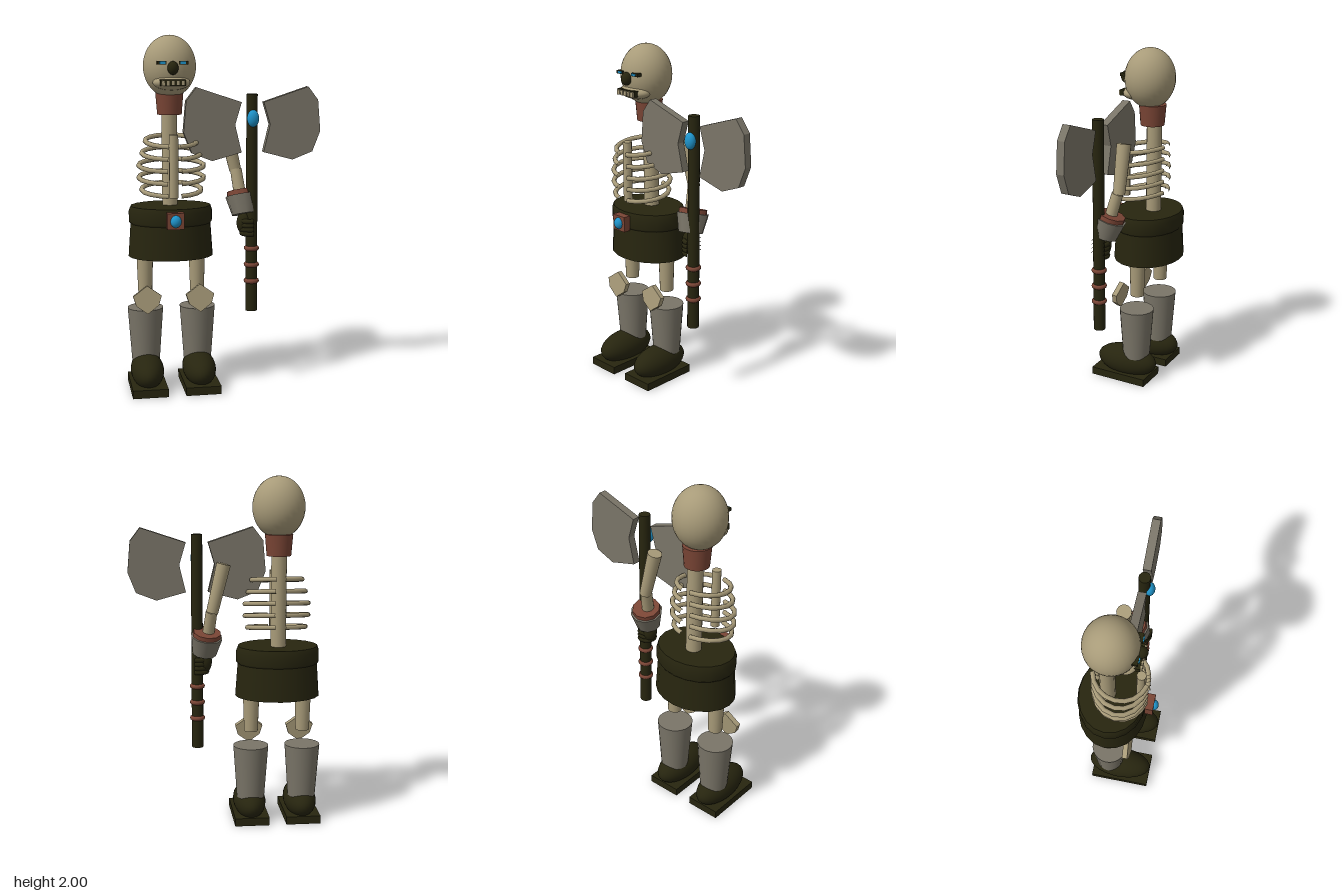
import * as THREE from 'three';

const mat = (name, color) => {
  const m = new THREE.MeshStandardMaterial({ color });
  m.name = name;
  return m;
};

export function createModel() {
  const bone = mat('bone', 0xa89b79);
  const steel = mat('steel', 0x7a7568);
  const dark = mat('darkLeather', 0x27250f);
  const brown = mat('brownLeather', 0x7a4535);
  const blue = mat('blueGlow', 0x1f95cc);

  const model = new THREE.Group();
  const V = (x, y, z) => new THREE.Vector3(x, y, z);
  const CX = -0.296; // body axis

  const add = (name, geo, material, x = 0, y = 0, z = 0, parent = model) => {
    const m = new THREE.Mesh(geo, material);
    m.name = name;
    m.position.set(x, y, z);
    parent.add(m);
    return m;
  };
  const ball = (name, material, x, y, z, rx, ry, rz, parent = model) => {
    const m = add(name, new THREE.SphereGeometry(1, 28, 20), material, x, y, z, parent);
    m.scale.set(rx, ry, rz);
    return m;
  };
  const box = (name, material, x, y, z, w, h, d, parent = model) =>
    add(name, new THREE.BoxGeometry(w, h, d), material, x, y, z, parent);
  // tapered cylinder running from a to b
  const limb = (name, material, a, b, ra, rb, sides = 16, parent = model) => {
    const dir = b.clone().sub(a);
    const m = add(name, new THREE.CylinderGeometry(rb, ra, dir.length(), sides), material, 0, 0, 0, parent);
    m.position.copy(a).add(b).multiplyScalar(0.5);
    m.quaternion.setFromUnitVectors(V(0, 1, 0), dir.normalize());
    return m;
  };
  const plate = (points, depth) => {
    const shape = new THREE.Shape(points.map(p => new THREE.Vector2(p[0], p[1])));
    const g = new THREE.ExtrudeGeometry(shape, { depth, bevelEnabled: false });
    return g.translate(0, 0, -depth / 2);
  };

  // Skull and face
  const head = new THREE.Group();
  head.name = 'head';
  head.position.x = CX;
  model.add(head);
  ball('skull', bone, 0, 1.828, -0.025, 0.148, 0.172, 0.146, head);
  for (const s of [-1, 1]) {
    box('eyeSocket', dark, s * 0.06, 1.848, 0.108, 0.05, 0.018, 0.03, head);
    box('eye', blue, s * 0.056, 1.848, 0.125, 0.03, 0.012, 0.008, head);
  }
  ball('nose', dark, 0, 1.82, 0.128, 0.03, 0.037, 0.032, head);
  ball('jaw', bone, 0, 1.74, 0.06, 0.104, 0.042, 0.07, head);
  box('mouth', dark, 0, 1.741, 0.112, 0.14, 0.034, 0.04, head);
  for (let i = -2; i <= 2; i++)
    box('tooth', bone, i * 0.027, 1.739, 0.133, 0.019, 0.027, 0.02, head);

  // Neck and spine
  limb('collar', brown, V(CX, 1.56, -0.043), V(CX, 1.68, -0.043), 0.069, 0.079, 24);
  limb('spine', bone, V(CX, 1.0, -0.055), V(CX, 1.6, -0.055), 0.044, 0.044);
  limb('sternum', bone, V(CX, 1.11, 0.13), V(CX, 1.46, 0.13), 0.026, 0.026, 10);

  // Rib cage: mirrored half rings sloping down to the front
  const ribWidths = [0.145, 0.165, 0.183, 0.183, 0.168];
  ribWidths.forEach((rx, i) => {
    for (const s of [-1, 1]) {
      const pts = [];
      for (let k = 0; k <= 6; k++) {
        const a = 0.15 + (k / 6) * 2.8;
        pts.push(V(CX + s * rx * Math.sin(a), 1.417 - i * 0.068 + 0.022 * Math.cos(a),
          0.02 - 0.148 * Math.cos(a)));
      }
      const path = new THREE.CurvePath();
      for (let k = 0; k < 6; k++) path.add(new THREE.LineCurve3(pts[k], pts[k + 1]));
      add('rib', new THREE.TubeGeometry(new THREE.CatmullRomCurve3(pts), 8, 0.0135, 8), bone);
    }
  });

  // Skirt and belt, oval in plan
  const oval = (name, profile) => {
    const g = new THREE.LatheGeometry(profile.map(p => new THREE.Vector2(p[0], p[1])), 20);
    add(name, g, dark, CX, 0, -0.03).scale.z = 0.82;
  };
  oval('skirt', [[0, 0.76], [0.242, 0.76], [0.242, 0.76], [0.228, 0.96], [0.228, 0.96], [0, 0.96]]);
  oval('belt', [[0, 0.945], [0.226, 0.945], [0.238, 0.96], [0.238, 1.02], [0.228, 1.048], [0.228, 1.048], [0, 1.048]]);
  box('buckle', brown, CX, 0.99, 0.185, 0.095, 0.09, 0.045);
  ball('buckleGem', blue, CX, 0.99, 0.207, 0.03, 0.034, 0.026);

  // Legs
  const kneeShape = [[0, -0.08], [0.064, -0.032], [0.08, 0.022], [0, 0.08], [-0.08, 0.022], [-0.064, -0.032]];
  for (const s of [-1, 1]) {
    const leg = new THREE.Group();
    leg.name = s > 0 ? 'leftLeg' : 'rightLeg';
    leg.position.x = CX + s * 0.15;
    model.add(leg);
    limb('thigh', bone, V(0, 0.548, -0.03), V(0, 0.85, -0.03), 0.04, 0.05, 16, leg);
    add('kneeGuard', plate(kneeShape, 0.03), bone, 0, 0.528, 0.085, leg).rotation.x = -0.12;
    limb('shinGuard', steel, V(0, 0.15, -0.027), V(0, 0.46, -0.027), 0.08, 0.102, 24, leg);
    ball('boot', dark, 0, 0.105, 0.036, 0.094, 0.095, 0.192, leg);
    box('sole', dark, 0, 0.023, 0.05, 0.2, 0.046, 0.355, leg);
  }

  // Left arm and gauntlet
  limb('upperArm', bone, V(0.012, 1.515, -0.025), V(0.078, 1.24, -0.03), 0.041, 0.034);
  limb('forearm', bone, V(0.08, 1.245, -0.022), V(0.11, 1.0, 0.04), 0.033, 0.036);
  limb('gauntlet', steel, V(0.118, 0.995, 0.038), V(0.106, 1.1, 0.008), 0.07, 0.092, 10);
  limb('gauntletTrim', brown, V(0.106, 1.095, 0.01), V(0.103, 1.125, 0.001), 0.082, 0.08, 10);
  ball('palm', dark, 0.115, 0.945, 0.045, 0.042, 0.065, 0.042);
  for (let i = 0; i < 4; i++) {
    const f = add('finger', new THREE.TorusGeometry(0.044, 0.014, 8, 14, 4), dark, 0.145, 0.887 + i * 0.024, 0.055);
    f.rotation.set(Math.PI / 2, 0, 1.3);
  }

  // Double-bladed axe
  const axe = new THREE.Group();
  axe.name = 'axe';
  axe.position.set(0.157, 0, 0.055);
  model.add(axe);
  limb('handle', dark, V(0, 0.435, 0), V(0, 1.675, 0), 0.034, 0.032, 16, axe);
  for (const y of [0.61, 0.705, 0.8])
    add('gripRing', new THREE.TorusGeometry(0.03, 0.014, 10, 20), brown, 0, y, 0, axe).rotation.x = Math.PI / 2;
  ball('axeGem', blue, 0, 1.54, 0.03, 0.034, 0.048, 0.028, axe);
  const blade = [[0.063, 1.63], [0.1, 1.505], [0.063, 1.35], [0.23, 1.305], [0.345, 1.35], [0.39, 1.465],
    [0.375, 1.64], [0.318, 1.715]];
  for (const s of [-1, 1])
    add('blade', plate(blade.map(p => [s * p[0], p[1]]), 0.046), steel, 0, 0, 0, axe);

  return model;
}
